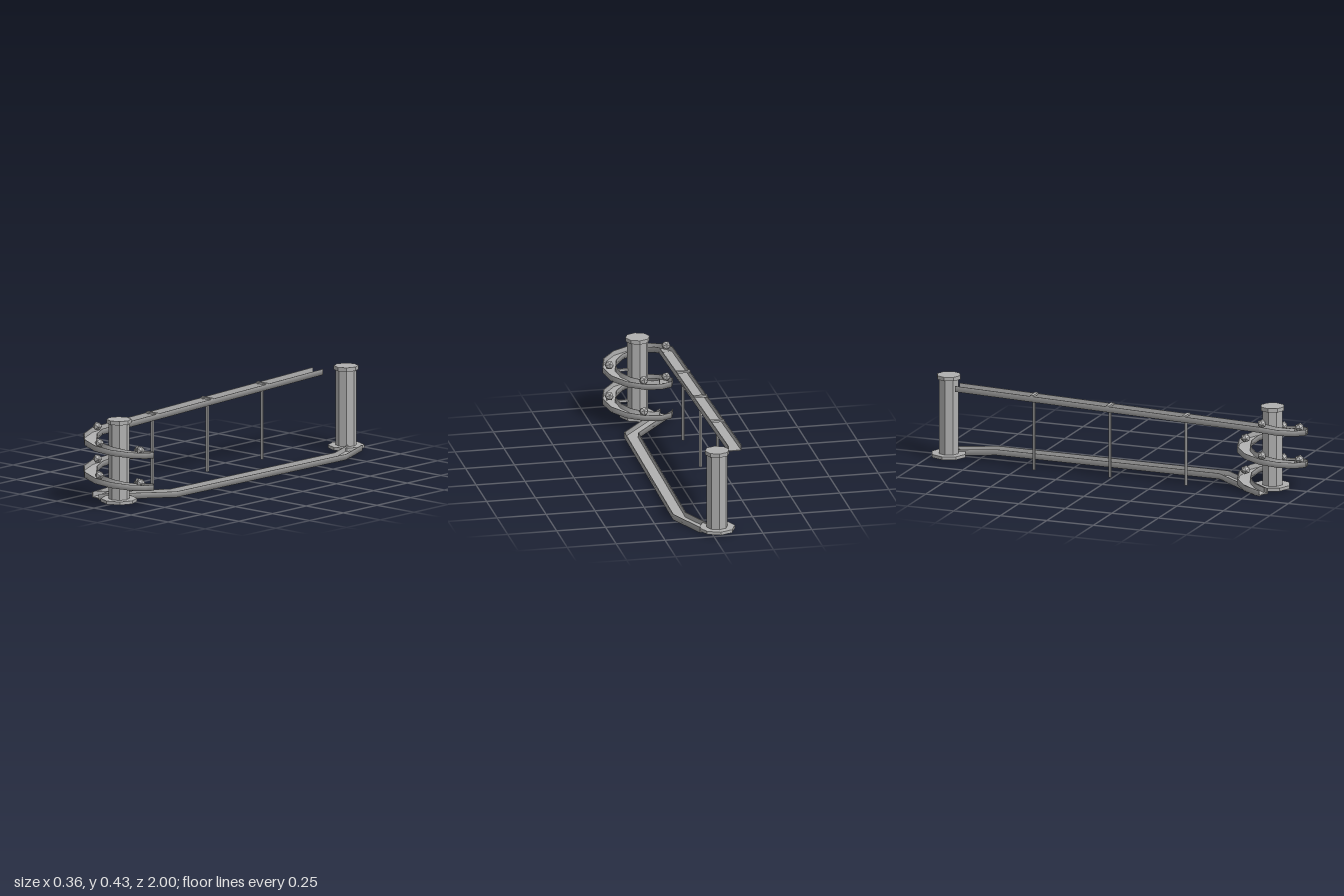
import * as THREE from 'three';

const HALF = 0.035, HEIGHT = 0.029, WALL = 0.004;
const FRONT_Z = 0.815, RADIUS = 0.145, DROP = 0.33;

// Channel profile as (across, up): outer shell is smooth, rims and inside are creased
const OL = [-HALF, HEIGHT], OBL = [-HALF, 0], OBR = [HALF, 0], OR = [HALF, HEIGHT];
const IL = [-HALF + WALL, HEIGHT], IBL = [-HALF + WALL, WALL];
const IR = [HALF - WALL, HEIGHT], IBR = [HALF - WALL, WALL];
const STRIPS = [[OL, OBL, OBR, OR], [OR, IR], [IR, IBR], [IBR, IBL], [IBL, IL], [IL, OL]];
const CAPS = [[OL, OBL, IBL, IL], [OBL, OBR, IBR, IBL], [OBR, OR, IR, IBR]];

// Sweeps the channel along stations of { p, side }
function channel(stations) {
  const positions = [], indices = [];
  const add = ({ p, side }, [a, b]) => {
    positions.push(p.x + side.x * a, p.y + b, p.z + side.z * a);
    return positions.length / 3 - 1;
  };
  for (const strip of STRIPS) {
    const rows = stations.map((s) => strip.map((q) => add(s, q)));
    for (let i = 0; i < rows.length - 1; i++) {
      for (let j = 0; j < strip.length - 1; j++) {
        const a = rows[i][j], b = rows[i][j + 1], c = rows[i + 1][j + 1], d = rows[i + 1][j];
        indices.push(a, d, c, a, c, b);
      }
    }
  }
  for (const cap of CAPS) {
    const [a, b, c, d] = cap.map((q) => add(stations[0], q));
    indices.push(a, b, c, a, c, d);
    const [e, f, g, h] = cap.map((q) => add(stations[stations.length - 1], q));
    indices.push(e, g, f, e, h, g);
  }
  const geometry = new THREE.BufferGeometry();
  geometry.setAttribute('position', new THREE.Float32BufferAttribute(positions, 3));
  geometry.setIndex(indices);
  geometry.computeVertexNormals();
  return geometry;
}

// Gives a polyline mitred side directions at its bends
function mitred(points) {
  const sides = points.slice(1).map((p, i) => {
    const t = p.clone().sub(points[i]);
    return new THREE.Vector3(-t.z, 0, t.x).normalize();
  });
  return points.map((p, i) => {
    const before = sides[Math.max(i - 1, 0)], after = sides[Math.min(i, sides.length - 1)];
    const side = before.clone().add(after).normalize();
    return { p, side: side.divideScalar(side.dot(after)) };
  });
}

// Point on the descending spiral, counted in turns from its top
function spiralAt(turn) {
  const angle = turn * Math.PI * 2;
  const side = new THREE.Vector3(-Math.cos(angle), 0, Math.sin(angle));
  const p = side.clone().multiplyScalar(RADIUS);
  p.y = DROP * (1 - turn / 2);
  p.z += FRONT_Z;
  return { p, side };
}

export function createModel() {
  const model = new THREE.Group();
  model.name = 'marbleRun';
  const grey = new THREE.MeshStandardMaterial({ color: 0xb0b0b0 });
  grey.name = 'grey';
  const flatGrey = grey;

  const add = (name, geometry, x = 0, y = 0, z = 0, parent = model) => {
    const mesh = new THREE.Mesh(geometry, flatGrey);
    mesh.name = name;
    mesh.position.set(x, y, z);
    parent.add(mesh);
    return mesh;
  };
  // Faceted prism between two heights
  const prism = (radius, height, sides) => {
    const geometry = new THREE.CylinderGeometry(radius, radius, height, sides).toNonIndexed();
    geometry.computeVertexNormals();
    return geometry;
  };

  // Octagonal towers with base and cap
  for (const [name, x, z] of [['frontTower', 0, FRONT_Z], ['backTower', -0.035, -0.91]]) {
    const tower = new THREE.Group();
    tower.name = name;
    tower.position.set(x, 0, z);
    model.add(tower);
    add('towerBase', prism(0.091, 0.016, 8), 0, 0.013, 0, tower);
    add('towerColumn', prism(0.053, 0.39, 8), 0, 0.213, 0, tower);
    add('towerCap', prism(0.062, 0.02, 8), 0, 0.415, 0, tower);
  }

  // Sloping upper ramp
  const rampY = (z) => DROP + 0.05 * (FRONT_Z - z) / 1.635;
  add('upperRamp', channel(mitred([-0.82, FRONT_Z].map(
    (z) => new THREE.Vector3(-RADIUS, rampY(z), z)))));

  // Posts and cross bars carrying the ramp
  for (const z of [-0.408, 0, 0.408]) {
    const top = rampY(z) + 0.002;
    add('rampPost', prism(0.008, top - 0.01, 6), -RADIUS, (top + 0.01) / 2, z);
    add('rampCrossBar', new THREE.BoxGeometry(0.07, 0.01, 0.018), -RADIUS, rampY(z) + HEIGHT, z);
  }

  // Two-turn spiral around the front tower
  add('spiralTrack', channel(Array.from({ length: 25 }, (_, i) => spiralAt(i / 12))));

  // Struts from the tower to the spiral
  for (const turn of [0.5, 1.5]) {
    add('spiralStrut', new THREE.BoxGeometry(0.07, 0.012, 0.012), 0.08, spiralAt(turn).p.y + 0.008, FRONT_Z);
  }

  // Marbles at every quarter turn
  const marble = new THREE.IcosahedronGeometry(0.024, 0);
  for (let i = 0; i < 8; i++) {
    const { p } = spiralAt(i / 4);
    add('marble', marble, p.x, p.y + 0.038, p.z);
  }

  // Low return track running to the back tower
  add('returnTrack', channel(mitred([[-RADIUS, FRONT_Z], [0.095, 0.517], [0.113, -0.705], [0.025, -0.915]]
    .map(([x, z]) => new THREE.Vector3(x, 0, z)))));

  return model;
}
